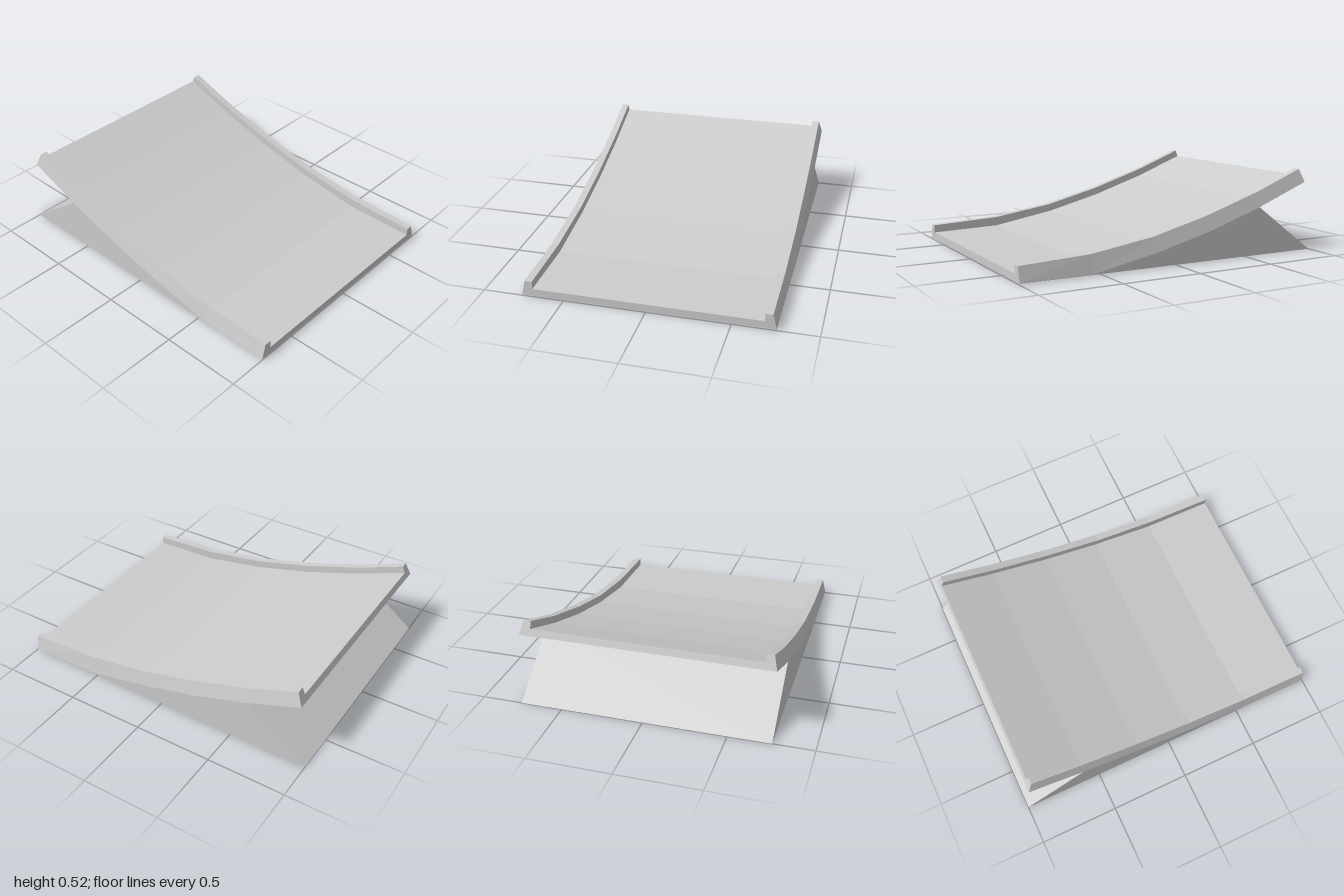
import * as THREE from 'three';

// Stations along the ramp: [z of lip top, y of lip top, z of underside, y of underside]
const STATIONS = [
  [1, 0.1, 1, 0.007],
  [0.56, 0.12, 0.55, 0.009],
  [0.155, 0.18, 0.13, 0.09],
  [-0.22, 0.274, -0.245, 0.185],
  [-0.6, 0.394, -0.6, 0.3],
  [-0.92, 0.517, -0.953, 0.435],
];
const HALF = 0.757, LIP_OUT = 0.735, LIP_IN = 0.69;

// Flat-sided geometry from quads, corners counter-clockwise seen from outside
function quadGeometry(quads) {
  const pos = [];
  for (const [a, b, c, d] of quads) for (const p of [a, b, c, a, c, d]) pos.push(...p);
  const g = new THREE.BufferGeometry();
  g.setAttribute('position', new THREE.Float32BufferAttribute(pos, 3));
  g.computeVertexNormals();
  return g;
}

// Channel cross-section: [x, fraction of the way from underside to lip top]
const SECTION = [
  [HALF, 0], [LIP_OUT, 1], [LIP_IN, 1], [LIP_IN, 0.48],
  [-LIP_IN, 0.48], [-LIP_IN, 1], [-LIP_OUT, 1], [-HALF, 0],
];
const ring = ([zt, yt, zb, yb]) =>
  SECTION.map(([x, t]) => [x, yb + (yt - yb) * t, zb + (zt - zb) * t]);

export function createModel() {
  const group = new THREE.Group();
  group.name = 'ramp';
  const grey = new THREE.MeshStandardMaterial({ color: 0xcccccc, flatShading: true });
  grey.name = 'light grey';
  const add = (name, geometry) => {
    const m = new THREE.Mesh(geometry, grey);
    m.name = name;
    group.add(m);
    return m;
  };

  // Curved deck with raised side lips
  const rings = STATIONS.map(ring);
  const deck = [];
  for (let i = 0; i < rings.length - 1; i++) {
    const a = rings[i], b = rings[i + 1];
    for (let j = 0; j < 7; j++) deck.push([a[j], b[j], b[j + 1], a[j + 1]]);
  }
  // End faces: floor slab plus the two lips
  for (const [r, flip] of [[rings[0], false], [rings[5], true]]) {
    const faces = [
      [r[0], r[1], r[2], r[3]],
      [r[0], r[3], r[4], r[7]],
      [r[7], r[4], r[5], r[6]],
    ];
    for (const f of faces) deck.push(flip ? f.reverse() : f);
  }
  // Exposed underside of the overhanging tip
  const u = rings[4], v = rings[5];
  deck.push([u[0], u[7], v[7], v[0]]);
  add('deck', quadGeometry(deck));

  // Support wedge: side panels follow the underside of the deck
  const shape = new THREE.Shape();
  shape.moveTo(-1, 0);
  for (const [, , z, y] of STATIONS.slice(0, 5).reverse()) shape.lineTo(z, y);
  shape.closePath();
  for (const s of [1, -1]) {
    const g = new THREE.ShapeGeometry(shape);
    const p = g.attributes.position;
    for (let i = 0; i < p.count; i++) p.setXYZ(i, s * HALF, p.getY(i), p.getX(i));
    // Shape faces are turned to point outward on each side
    if (s > 0) {
      const idx = g.index;
      for (let i = 0; i < idx.count; i += 3) {
        const t = idx.getX(i);
        idx.setX(i, idx.getX(i + 1));
        idx.setX(i + 1, t);
      }
    }
    g.computeVertexNormals();
    add(s > 0 ? 'leftSidePanel' : 'rightSidePanel', g);
  }

  // Sloping back of the wedge and flat base
  const H = HALF;
  add('backPanel', quadGeometry([[[-H, 0, -1], [-H, 0.3, -0.6], [H, 0.3, -0.6], [H, 0, -1]]]));
  add('base', quadGeometry([[[-H, 0, -1], [H, 0, -1], [H, 0.007, 1], [-H, 0.007, 1]]]));
  return group;
}
